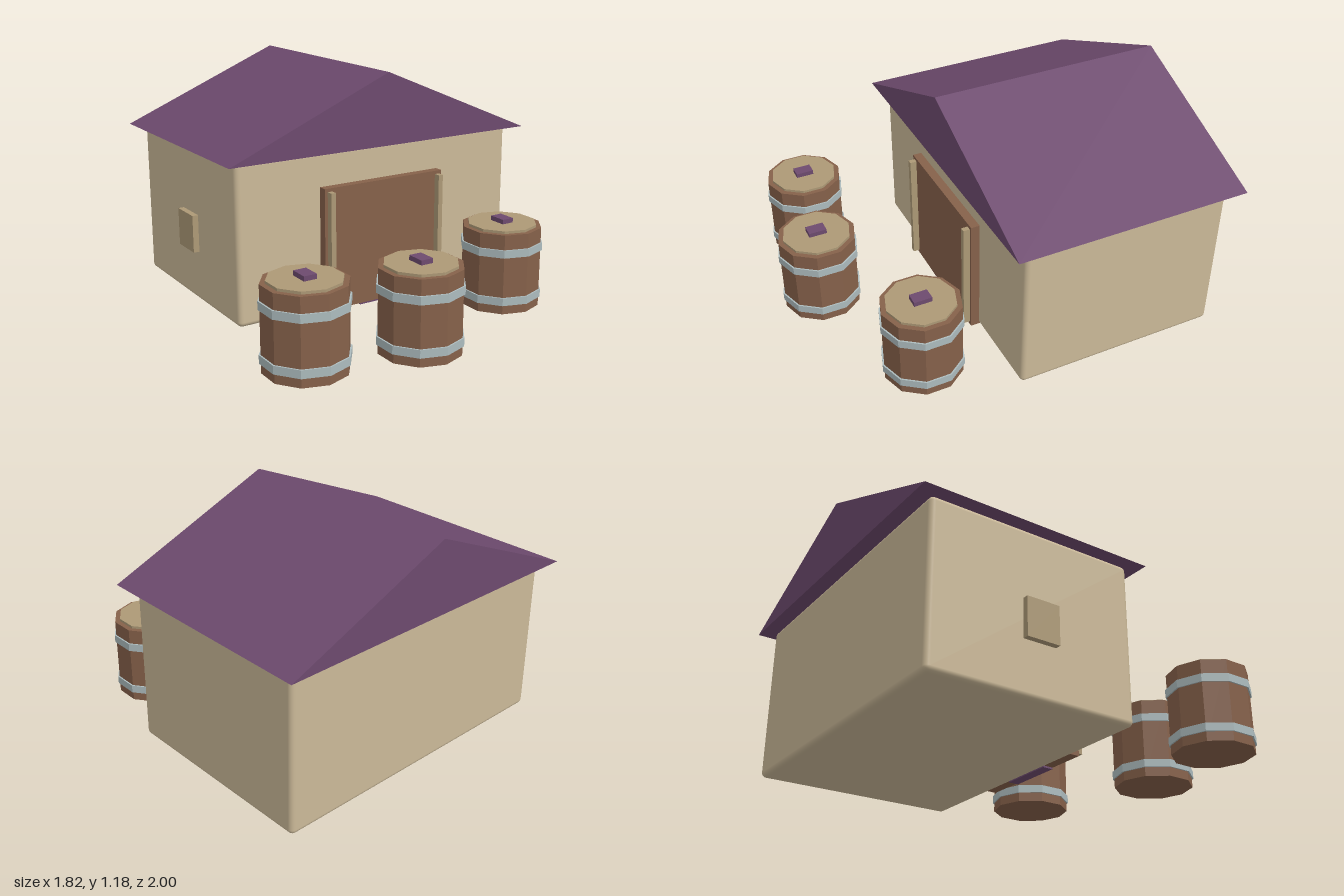
import * as THREE from 'three';
import { RoundedBoxGeometry } from 'three/addons/geometries/RoundedBoxGeometry.js';

const mat = (name, color, flatShading = false) => {
  const m = new THREE.MeshStandardMaterial({ color, flatShading });
  m.name = name;
  return m;
};

export function createModel() {
  const wall = mat('plaster', 0xcbb998);
  const purple = mat('purple', 0x6d4a6e, true);
  const brown = mat('brown wood', 0x86614a, true);
  const tan = mat('pale wood', 0xad9976, true);
  const metal = mat('metal band', 0xadbcbe, true);

  const model = new THREE.Group();
  model.name = 'storehouse';

  const add = (parent, name, geometry, material, x = 0, y = 0, z = 0) => {
    const mesh = new THREE.Mesh(geometry, material);
    mesh.name = name;
    mesh.position.set(x, y, z);
    parent.add(mesh);
    return mesh;
  };
  // Box given by its minimum and maximum corners
  const box = (parent, name, material, [x0, y0, z0], [x1, y1, z1]) =>
    add(parent, name, new THREE.BoxGeometry(x1 - x0, y1 - y0, z1 - z0), material,
      (x0 + x1) / 2, (y0 + y1) / 2, (z0 + z1) / 2);

  // Walls with softly rounded edges
  const cx = 0.04;
  add(model, 'walls', new RoundedBoxGeometry(1.615, 0.81, 1.075, 3, 0.025), wall, cx, 0.409, -0.395);

  // Gable roof
  const gable = new THREE.Shape();
  gable.moveTo(-0.87, 0);
  gable.lineTo(0.87, 0);
  gable.lineTo(0, 0.365);
  gable.closePath();
  add(model, 'roof', new THREE.ExtrudeGeometry(gable, { depth: 1.21, bevelEnabled: false }),
    purple, cx, 0.812, -1);

  // Door with its two upright strips and sill
  box(model, 'door', brown, [-0.315, 0.01, 0.13], [0.387, 0.637, 0.188]);
  for (const side of [-1, 1]) {
    const x = cx - 0.003 + side * 0.323;
    box(model, 'doorStrip', tan, [x - 0.013, 0.03, 0.188], [x + 0.013, 0.62, 0.222]);
  }
  box(model, 'doorSill', purple, [-0.11, 0.001, 0.13], [0.18, 0.011, 0.185]);

  // Shutter on the side wall
  box(model, 'shutter', tan, [-0.798, 0.27, -0.46], [-0.76, 0.462, -0.288]);

  // Ten-sided barrels
  const sides = 10;
  const cylinder = (r, h) => new THREE.CylinderGeometry(r, r, h, sides);
  for (const [x, z] of [[-0.715, 0.68], [-0.18, 0.787], [0.525, 0.515]]) {
    const barrel = new THREE.Group();
    barrel.name = 'barrel';
    barrel.position.set(x, 0, z);
    add(barrel, 'staves', cylinder(0.2, 0.408), brown, 0, 0.204, 0);
    add(barrel, 'lid', cylinder(0.174, 0.02), tan, 0, 0.411, 0);
    for (const y of [0.066, 0.313]) add(barrel, 'band', cylinder(0.208, 0.04), metal, 0, y, 0);
    box(barrel, 'lidHandle', purple, [-0.032, 0.42, -0.046], [0.032, 0.444, 0.046]);
    model.add(barrel);
  }
  return model;
}
